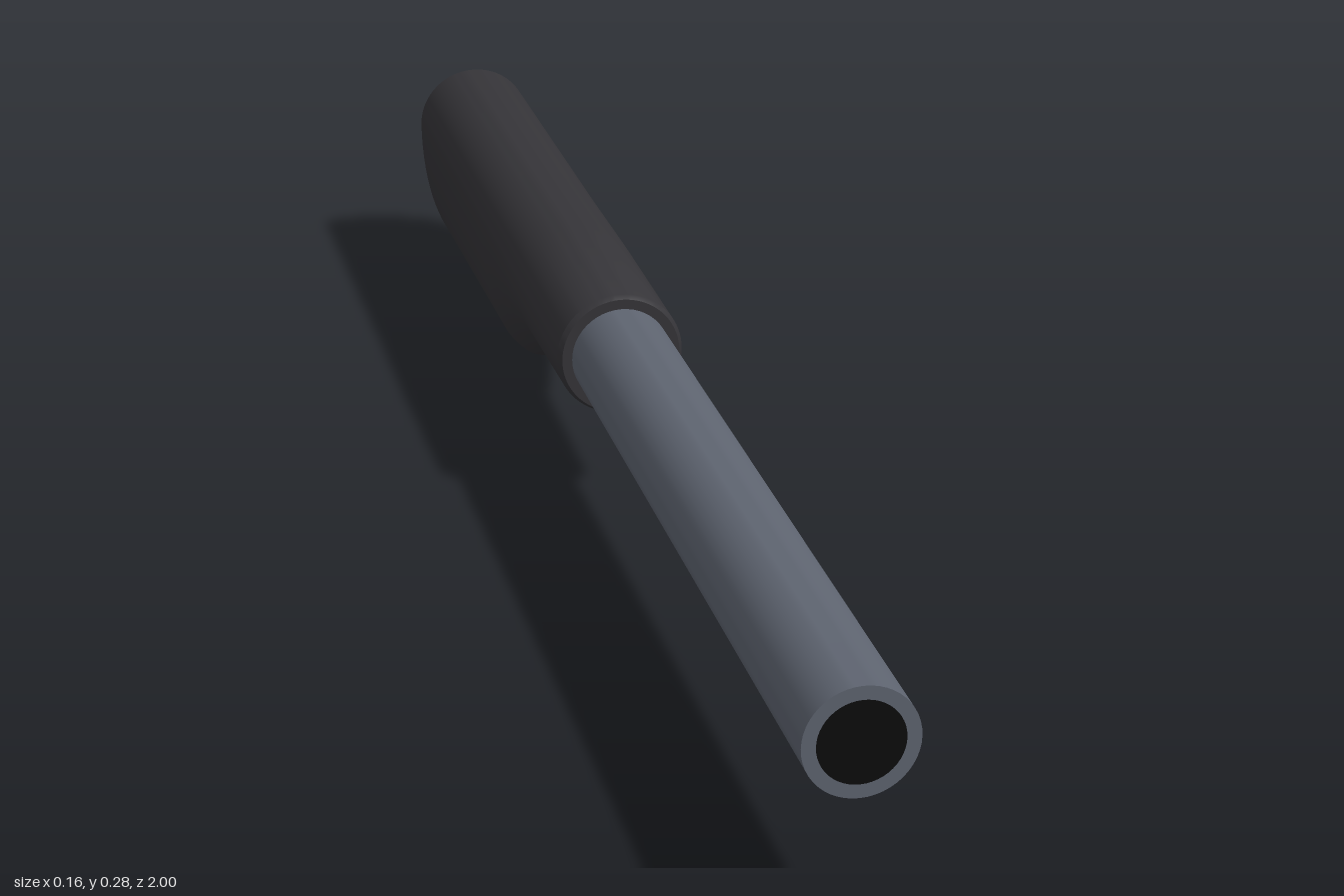
import * as THREE from 'three';
import { toCreasedNormals } from 'three/addons/utils/BufferGeometryUtils.js';

const AXIS_Y = 0.2; // height of the tube's axis

// Skin of cross-sections: rounded above the axis, half-elliptical below it
function loftGrip(sections, segments) {
  const points = [];
  const index = [];
  for (const [z, top, bottom, halfWidth] of sections) {
    for (let j = 0; j < segments; j++) {
      const a = (j / segments) * Math.PI * 2;
      const s = Math.sin(a);
      const y = AXIS_Y + s * (s > 0 ? top - AXIS_Y : AXIS_Y - bottom);
      points.push(Math.cos(a) * halfWidth, y, z);
    }
  }
  const last = sections.length - 1;
  const front = points.length / 3;
  const back = front + 1;
  points.push(0, AXIS_Y, sections[0][0], 0, AXIS_Y, sections[last][0]);
  for (let j = 0; j < segments; j++) {
    const k = (j + 1) % segments;
    for (let i = 0; i < last; i++) {
      const a = i * segments;
      const b = a + segments;
      index.push(a + j, b + j, a + k, a + k, b + j, b + k);
    }
    index.push(front, j, k, back, last * segments + k, last * segments + j);
  }
  const geometry = new THREE.BufferGeometry();
  geometry.setAttribute('position', new THREE.Float32BufferAttribute(points, 3));
  geometry.setIndex(index);
  return toCreasedNormals(geometry, 0.5);
}

export function createModel() {
  const metal = new THREE.MeshStandardMaterial({ color: 0x5e6470 });
  metal.name = 'blue grey metal';
  const dark = new THREE.MeshStandardMaterial({ color: 0x353438 });
  dark.name = 'charcoal grip';
  const black = new THREE.MeshStandardMaterial({ color: 0x0c0c0c });
  black.name = 'bore black';

  const model = new THREE.Group();
  model.name = 'tubeWithGrip';
  const add = (name, geometry, material) => {
    const mesh = new THREE.Mesh(geometry, material);
    mesh.name = name;
    model.add(mesh);
    return mesh;
  };

  // Long tube, with an annular end face
  const profile = [[0.0625, -0.2], [0.0625, 1], [0.047, 1]].map(([r, y]) => new THREE.Vector2(r, y));
  const tubeGeometry = toCreasedNormals(new THREE.LatheGeometry(profile, 48), 0.5);
  tubeGeometry.rotateX(Math.PI / 2);
  add('tube', tubeGeometry, metal).position.y = AXIS_Y;

  // Dark opening at the front end
  add('bore', new THREE.CircleGeometry(0.047, 48), black).position.set(0, AXIS_Y, 1);

  // Grip: round collar flaring down into a deep tail [z, top, bottom, half width]
  add('grip', loftGrip([
    [-0.04, 0.275, 0.125, 0.075],
    [-0.048, 0.279, 0.121, 0.08],
    [-0.29, 0.281, 0.109, 0.081],
    [-0.32, 0.281, 0.102, 0.081],
    [-0.5, 0.279, 0.02, 0.08],
    [-0.53, 0.279, 0.013, 0.08],
    [-1, 0.279, 0, 0.08],
  ], 72), dark);

  return model;
}
